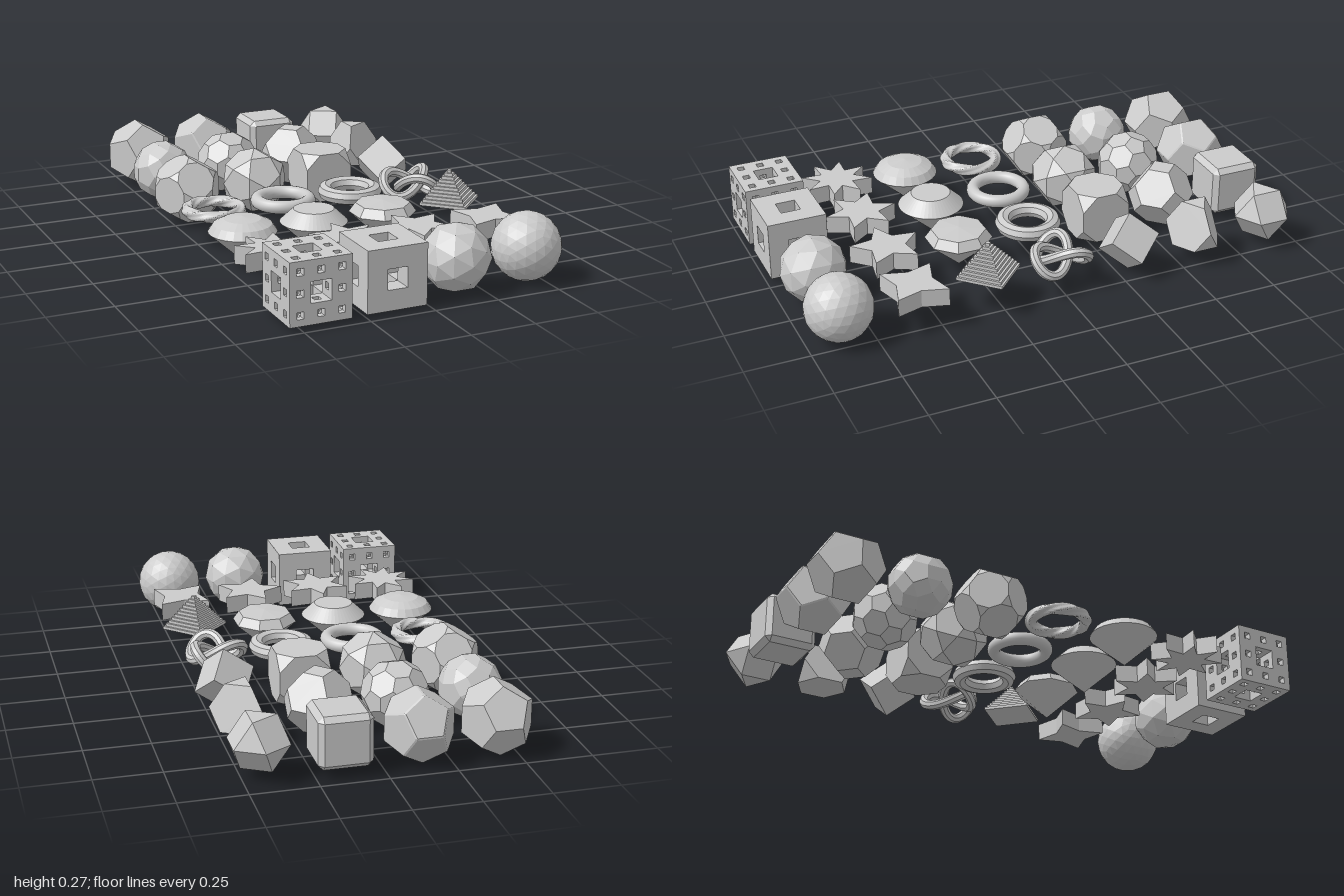
import * as THREE from 'three';
import { ConvexGeometry } from 'three/addons/geometries/ConvexGeometry.js';
import { ParametricGeometry } from 'three/addons/geometries/ParametricGeometry.js';
import { mergeGeometries } from 'three/addons/utils/BufferGeometryUtils.js';

const PHI = (1 + Math.sqrt(5)) / 2;
const V = (x, y, z) => new THREE.Vector3(x, y, z);
const signs = [-1, 1];

// All sign changes and cyclic shifts of one corner
function corners(a, b, c) {
  const out = [];
  for (const i of signs) for (const j of signs) for (const k of signs)
    for (const p of [V(a * i, b * j, c * k), V(c * k, a * i, b * j), V(b * j, c * k, a * i)])
      if (!out.some(q => q.distanceTo(p) < 1e-6)) out.push(p);
  return out;
}

// Cut the corners: points at fraction t along every edge, from both ends
function truncate(verts, t) {
  const edge = Math.min(...verts.slice(1).map(v => v.distanceTo(verts[0])));
  const out = [];
  for (const a of verts) for (const b of verts)
    if (a !== b && a.distanceTo(b) < edge * 1.01) out.push(a.clone().lerp(b, t));
  return out;
}

// Bevel the edges: shrink every face about its centre by k
function bevel(verts, faceNormals, k) {
  const out = [];
  for (const n of faceNormals) {
    const far = Math.max(...verts.map(v => v.dot(n)));
    const centre = n.clone().multiplyScalar(far / n.lengthSq());
    for (const v of verts) if (v.dot(n) > far - 1e-6) out.push(centre.clone().lerp(v, k));
  }
  return out;
}

// Convex solid scaled to a given circumradius
function solid(verts, radius) {
  const s = radius / Math.max(...verts.map(v => v.length()));
  return new ConvexGeometry(verts.map(v => v.clone().multiplyScalar(s)));
}

// Cube (or tetrahedron) standing on a corner
function tilted(keep) {
  const e = [0, 1, 2].map(k => {
    const a = k * Math.PI * 2 / 3;
    return V(Math.cos(a) * Math.sqrt(2 / 3), 1 / Math.sqrt(3), Math.sin(a) * Math.sqrt(2 / 3));
  });
  const out = [];
  for (const i of signs) for (const j of signs) for (const k of signs)
    if (keep(i * j * k))
      out.push(V(0, 0, 0).addScaledVector(e[0], i).addScaledVector(e[1], j).addScaledVector(e[2], k));
  return out;
}

// Sponge cube: only the exposed cell faces
function sponge(size, level) {
  const n = 3 ** level, c = size / n, faces = [];
  const filled = (x, y, z) => {
    if (Math.min(x, y, z) < 0 || Math.max(x, y, z) >= n) return false;
    for (let l = 0; l < level; l++) {
      const d = 3 ** l;
      if ([x, y, z].filter(q => Math.floor(q / d) % 3 === 1).length > 1) return false;
    }
    return true;
  };
  const dirs = [V(1, 0, 0), V(-1, 0, 0), V(0, 1, 0), V(0, -1, 0), V(0, 0, 1), V(0, 0, -1)];
  for (let x = 0; x < n; x++) for (let y = 0; y < n; y++) for (let z = 0; z < n; z++) {
    if (!filled(x, y, z)) continue;
    for (const d of dirs) {
      if (filled(x + d.x, y + d.y, z + d.z)) continue;
      const p = V(x, y, z).addScalar(0.5 - n / 2).addScaledVector(d, 0.5).multiplyScalar(c);
      faces.push(new THREE.PlaneGeometry(c, c).lookAt(d).translate(p.x, p.y, p.z));
    }
  }
  return mergeGeometries(faces);
}

// Flat star prism
function star(points, turn) {
  const pts = [];
  for (let i = 0; i < points * 2; i++) {
    const a = turn + i * Math.PI / points, r = i % 2 ? 0.07 : 0.14;
    pts.push(new THREE.Vector2(r * Math.cos(a), r * Math.sin(a)));
  }
  return new THREE.ExtrudeGeometry(new THREE.Shape(pts), { depth: 0.07, bevelEnabled: false })
    .rotateX(Math.PI / 2).translate(0, 0.035, 0);
}

// Cut gem from a profile, girdle at the centre height
function gem(profile, sides) {
  return new THREE.LatheGeometry(profile.map(p => new THREE.Vector2(...p)), sides, Math.PI / sides);
}

// Ring with lobed, twisted section
function twistedRing(R, r, lobes, turns) {
  return new ParametricGeometry((u, v, p) => {
    const a = u * Math.PI * 2, b = v * Math.PI * 2;
    const q = r * (0.9 + 0.1 * Math.cos(lobes * b + turns * a));
    const d = R + q * Math.cos(b);
    p.set(d * Math.cos(a), q * Math.sin(b), d * Math.sin(a));
  }, 96, 24);
}

// Three-lobed knot
class KnotCurve extends THREE.Curve {
  getPoint(u, target = V(0, 0, 0)) {
    const t = u * Math.PI * 2, s = 0.039;
    return target.set(s * (Math.cos(t) - 2 * Math.cos(2 * t)) - 0.018,
      0.04 * Math.sin(3 * t), s * (Math.sin(t) + 2 * Math.sin(2 * t)));
  }
}

// Terraced pyramid with a flat base
function terracedPyramid() {
  const steps = 11, r = 0.129, h = 0.13 / steps, parts = [];
  for (let i = 0; i < steps; i++) {
    const q = r * (1 - i / steps);
    parts.push(new THREE.CylinderGeometry(q, q, h, 4).translate(0, (i + 0.5) * h, 0));
  }
  return mergeGeometries(parts);
}

export function createModel() {
  const group = new THREE.Group();
  const flat = new THREE.MeshStandardMaterial({ color: 0xcccccc, flatShading: true, side: THREE.DoubleSide });
  const smooth = new THREE.MeshStandardMaterial({ color: 0xcccccc, side: THREE.DoubleSide });

  const cube = corners(1, 1, 1), octa = corners(1, 0, 0), icosa = corners(1, PHI, 0);
  const dodeca = [...cube, ...corners(0, PHI, 1 / PHI)];
  const tiltedCube = tilted(() => true), tiltedTetra = tilted(s => s > 0);

  // Rows run from back to front, columns from -x to +x
  const rows = [
    [['dodecahedron', solid(dodeca, 0.1415)],
      ['bevelledDodecahedron', solid(bevel(dodeca, icosa, 0.94), 0.137)],
      ['bevelledCube', solid(bevel(cube, octa, 0.8), 0.151)],
      ['cuboctahedron', solid(truncate(tiltedCube, 0.5), 0.117)]],
    [['rhombicosidodecahedron', solid(bevel(dodeca, icosa, 0.539), 0.121)],
      ['truncatedIcosahedron', solid(truncate(icosa, 1 / 3), 0.128)],
      ['truncatedOctahedron', solid(truncate(octa, 1 / 3), 0.13)],
      ['truncatedTetrahedron', solid(truncate(tiltedTetra, 1 / 3), 0.118)]],
    [['truncatedDodecahedron', solid(truncate(dodeca, 0.2764), 0.137)],
      ['icosidodecahedron', solid(truncate(icosa, 0.5), 0.134)],
      ['truncatedCube', solid(truncate(cube, 0.2929), 0.145)],
      ['cubeOnCorner', solid(tiltedCube, 0.121)]],
    [['twistedRing', twistedRing(0.103, 0.024, 4, 6)],
      ['plainRing', new THREE.TorusGeometry(0.101, 0.026, 16, 64).rotateX(Math.PI / 2), smooth],
      ['facetedRing', new THREE.TorusGeometry(0.097, 0.03, 8, 64).rotateX(Math.PI / 2)],
      ['knot', new THREE.TubeGeometry(new KnotCurve(), 128, 0.02, 8, true)]],
    [['domedGem', gem([[0, -0.118], [0.13, 0], [0.11, 0.03], [0.07, 0.05], [0, 0.058]], 24)],
      ['roundGem', gem([[0, -0.118], [0.129, 0], [0.077, 0.05], [0, 0.05]], 48)],
      ['octagonalGem', gem([[0, -0.118], [0.13, 0], [0.105, 0.035], [0, 0.045]], 8)],
      ['terracedPyramid', terracedPyramid()]],
    [['eightPointStar', star(8, Math.PI / 8)], ['sixPointStar', star(6, Math.PI / 2)],
      ['fivePointStar', star(5, Math.PI)], ['fourPointStar', star(4, Math.PI / 4)]],
    [['fineSponge', sponge(0.233, 2)], ['coarseSponge', sponge(0.23, 1)],
      ['coarseBall', new THREE.IcosahedronGeometry(0.129, 1)],
      ['fineBall', new THREE.IcosahedronGeometry(0.129, 3)]],
  ];

  rows.forEach((row, r) => row.forEach(([name, geometry, material = flat], c) => {
    const mesh = new THREE.Mesh(geometry, material);
    mesh.name = name;
    mesh.position.set((c - 1.5) * 0.289 + 0.0025, 0.138, (r - 3) * 0.29);
    group.add(mesh);
  }));
  return group;
}
